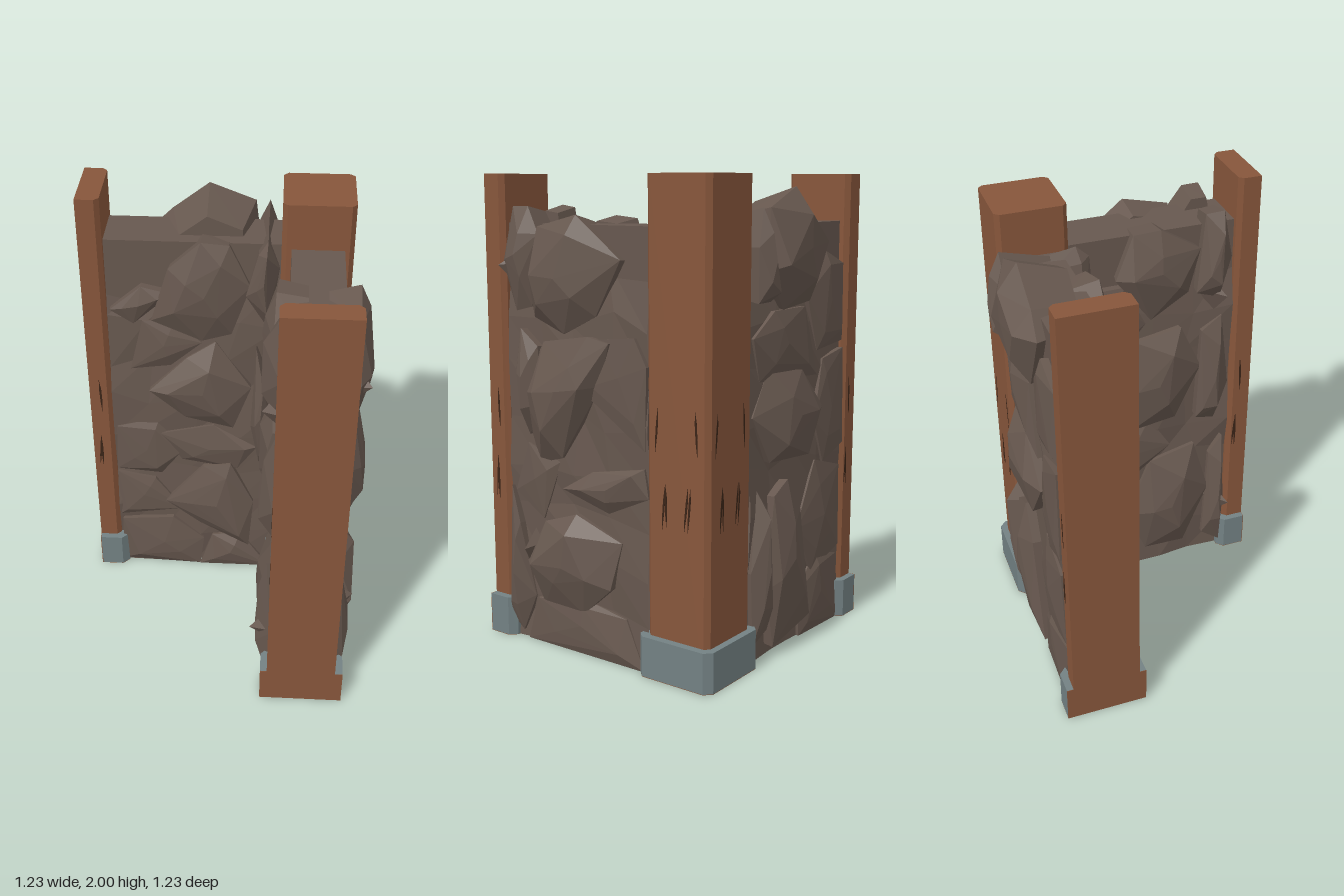
import * as THREE from 'three';
import { ConvexGeometry } from 'three/addons/geometries/ConvexGeometry.js';

const paint = (name, color, extra = {}) => {
  const m = new THREE.MeshStandardMaterial({ color, ...extra });
  m.name = name;
  return m;
};

// Seeded random numbers
function seeded(seed) {
  return () => {
    seed = (seed * 16807) % 2147483647;
    return seed / 2147483647;
  };
}

// Rocks as [height above core, u, y, u, y, ...] where u runs along the wall
const backInner = [
  [0.105, -0.24, 1.7, -0.1, 1.83, 0.02, 1.81, 0.11, 1.62, 0.03, 1.38, -0.1, 1.34, -0.32, 1.44],
  [0.06, -0.5, 1.48, -0.36, 1.6, -0.23, 1.57, -0.4, 1.41],
  [0.06, -0.42, 1.18, -0.36, 1.43, -0.22, 1.43, -0.1, 1.33, -0.24, 1.2],
  [0.105, -0.34, 1.07, -0.17, 1.24, -0.04, 1.33, 0.12, 1.1, 0.04, 0.87, -0.18, 0.92],
  [0.055, -0.51, 0.6, -0.5, 0.85, -0.3, 0.9, -0.21, 0.7, -0.3, 0.57],
  [0.06, -0.3, 0.82, -0.05, 0.87, 0.15, 0.75, 0.06, 0.62, -0.2, 0.66],
  [0.095, -0.28, 0.42, -0.1, 0.63, 0.03, 0.66, 0.14, 0.42, 0.12, 0.14, -0.12, 0.27],
  [0.05, -0.51, 0.3, -0.51, 0.57, -0.33, 0.54, -0.2, 0.36],
  [0.065, -0.51, 0, -0.5, 0.28, -0.25, 0.3, -0.1, 0.17, -0.12, 0],
  [0.07, -0.12, 0, -0.06, 0.19, 0.08, 0.2, 0.22, 0],
  [0.12, 0.12, 0.9, 0.14, 1.32, 0.18, 1.2, 0.23, 0.8, 0.16, 0.68],
  [0.11, 0.09, 1.58, 0.14, 1.78, 0.18, 1.84, 0.23, 1.7, 0.19, 1.4],
];
const backOuter = [
  [0.12, -0.33, 1.74, -0.24, 1.83, -0.08, 1.95, 0.12, 1.87, 0.15, 1.62, 0.02, 1.46, -0.2, 1.48],
  [0.11, 0.12, 1.5, 0.11, 1.72, 0.18, 1.87, 0.23, 1.72, 0.22, 1.5],
  [0.055, -0.51, 1.28, -0.5, 1.62, -0.34, 1.68, -0.2, 1.5, -0.28, 1.26],
  [0.07, -0.26, 1.16, -0.16, 1.46, 0.08, 1.46, 0.22, 1.36, 0.16, 1.18],
  [0.115, -0.3, 1.02, -0.12, 1.2, 0.1, 1.23, 0.21, 1.04, 0.1, 0.84, -0.18, 0.83],
  [0.055, -0.51, 0.82, -0.5, 1.25, -0.32, 1.22, -0.26, 0.96, -0.34, 0.76],
  [0.11, -0.22, 0.1, -0.12, 0.6, -0.02, 0.75, 0.09, 0.7, 0.12, 0.3, 0.08, 0.04],
  [0.1, 0.1, 0.12, 0.11, 0.66, 0.18, 0.74, 0.23, 0.4, 0.21, 0.08],
  [0.06, -0.51, 0.34, -0.49, 0.72, -0.28, 0.78, -0.14, 0.5, -0.26, 0.28],
  [0.055, -0.51, 0, -0.5, 0.3, -0.3, 0.36, -0.16, 0.2, -0.18, 0],
];
const sideOuter = [
  [0.115, 0.38, 1.6, 0.31, 1.79, 0.1, 1.84, -0.12, 1.67, 0.02, 1.44, 0.18, 1.36, 0.34, 1.42],
  [0.1, 0.5, 1.64, 0.45, 1.87, 0.37, 1.87, 0.3, 1.76, 0.36, 1.46, 0.44, 1.44],
  [0.115, 0.42, 1.1, 0.3, 1.32, 0.05, 1.36, -0.06, 1.34, 0.0, 1.16, 0.2, 0.84, 0.34, 0.8],
  [0.105, 0.46, 1.2, 0.41, 1.37, 0.32, 1.3, 0.3, 1.06, 0.38, 0.92],
  [0.05, 0.1, 1.14, 0.02, 1.35, -0.18, 1.37, -0.24, 1.26, -0.22, 0.92],
  [0.075, 0.2, 0.71, 0.05, 0.8, -0.22, 0.85, -0.24, 0.73, -0.04, 0.64],
  [0.115, 0.41, 0.36, 0.31, 0.55, 0.13, 0.61, -0.1, 0.52, -0.06, 0.32, 0.1, 0.18, 0.32, 0.18],
  [0.09, 0.51, 0.08, 0.5, 0.68, 0.45, 0.52, 0.38, 0.2, 0.45, 0.03],
  [0.055, 0.42, 0, 0.36, 0.2, 0.1, 0.24, -0.12, 0.2, -0.22, 0],
  [0.05, 0.48, 0.66, 0.4, 0.88, 0.22, 0.82, 0.32, 0.56],
];
const sideInner = [
  [0.105, -0.04, 1.62, 0.04, 1.82, 0.16, 1.83, 0.34, 1.72, 0.3, 1.5, 0.12, 1.4],
  [0.1, 0.33, 1.5, 0.37, 1.86, 0.45, 1.87, 0.5, 1.64, 0.44, 1.46],
  [0.06, -0.23, 1.28, -0.2, 1.58, 0.0, 1.58, 0.1, 1.38, -0.04, 1.22],
  [0.11, -0.08, 1.04, 0.05, 1.3, 0.26, 1.34, 0.36, 1.12, 0.24, 0.86, 0.02, 0.84],
  [0.1, 0.34, 0.84, 0.36, 1.3, 0.46, 1.36, 0.5, 1.0, 0.44, 0.8],
  [0.075, -0.22, 0.6, -0.14, 0.84, 0.12, 0.86, 0.22, 0.7, 0.0, 0.54],
  [0.105, 0.0, 0.32, 0.12, 0.62, 0.34, 0.68, 0.42, 0.4, 0.3, 0.08, 0.1, 0.08],
  [0.1, 0.4, 0.1, 0.42, 0.6, 0.48, 0.7, 0.51, 0.3, 0.49, 0.04],
  [0.065, -0.23, 0, -0.22, 0.46, -0.06, 0.52, 0.06, 0.24, 0.04, 0],
];

export function createModel() {
  const model = new THREE.Group();
  const wood = paint('wood', 0x87563b);
  const stone = paint('stone', 0x67584f, { side: THREE.DoubleSide });
  const iron = paint('iron', 0x738183);
  const groove = paint('dark groove', 0x3a2417);

  const add = (name, geometry, material, parent = model) => {
    const mesh = new THREE.Mesh(geometry, material);
    mesh.name = name;
    parent.add(mesh);
    return mesh;
  };
  const block = (name, x0, x1, y0, y1, z0, z1, material) =>
    add(name, new THREE.BoxGeometry(x1 - x0, y1 - y0, z1 - z0), material)
      .position.set((x0 + x1) / 2, (y0 + y1) / 2, (z0 + z1) / 2);

  // Upright prism; the last four values are the bevels of its corners
  const prism = (x0, x1, z0, z1, h, a, b, c, d) => {
    const s = new THREE.Shape([
      [x0, z0 + a], [x0 + a, z0], [x1 - b, z0], [x1, z0 + b],
      [x1, z1 - c], [x1 - c, z1], [x0 + d, z1], [x0, z1 - d],
    ].filter(([x, z], i, all) => !i || x !== all[i - 1][0] || z !== all[i - 1][1])
      .map(([x, z]) => new THREE.Vector2(x, -z)));
    return new THREE.ExtrudeGeometry(s, { depth: h, bevelEnabled: false }).rotateX(-Math.PI / 2);
  };

  // Posts, iron shoes and their wooden undersides
  const p = 0.02, q = 0.03;
  add('cornerPost', prism(0.234, 0.534, -0.535, -0.235, 2, p, p, p, p), wood);
  add('cornerShoe', prism(0.204, 0.568, -0.565, -0.205, 0.17, q, q, q, q).translate(0, 0.002, 0), iron);
  add('cornerShoeBottom', prism(0.204, 0.568, -0.565, -0.205, 0.002, q, q, q, q), wood);
  add('rightPost', prism(-0.615, -0.515, -0.535, -0.235, 2, 0, p, p, 0), wood);
  add('rightShoe', prism(-0.613, -0.48, -0.565, -0.205, 0.17, 0, q, q, 0).translate(0, 0.002, 0), iron);
  add('rightShoeBottom', prism(-0.613, -0.48, -0.565, -0.205, 0.002, 0, q, q, 0), wood);
  block('rightShoeCutFace', -0.615, -0.612, 0, 0.172, -0.565, -0.205, wood);
  add('frontPost', prism(0.234, 0.534, 0.515, 0.615, 2, p, p, 0, 0), wood);
  add('frontShoe', prism(0.204, 0.568, 0.482, 0.613, 0.17, q, q, 0, 0).translate(0, 0.002, 0), iron);
  add('frontShoeBottom', prism(0.204, 0.568, 0.482, 0.613, 0.002, q, q, 0, 0), wood);
  block('frontShoeCutFace', 0.204, 0.568, 0, 0.172, 0.612, 0.615, wood);

  // Wall cores
  block('backWall', -0.52, 0.24, 0, 1.8, -0.495, -0.275, stone);
  block('sideWall', 0.275, 0.495, 0, 1.8, -0.24, 0.52, stone);

  // One face of a wall: a rough skin with faceted rocks; those at the top lean over it by "lean"
  const cladding = (name, rocks, u0, u1, lean, seed, place) => {
    const rnd = seeded(seed), group = new THREE.Group();
    group.name = name;
    model.add(group);
    const skin = new THREE.PlaneGeometry(1, 1, 4, 8), pos = skin.attributes.position;
    for (let i = 0; i < pos.count; i++) {
      const a = pos.getX(i) + 0.5, b = pos.getY(i) + 0.5;
      const mid = a > 0.01 && a < 0.99 ? 1 : 0, top = b > 0.99;
      const u = u0 + (u1 - u0) * (a + mid * (rnd() - 0.5) * 0.12);
      const y = b * 1.62 + (b > 0.01 ? (rnd() - 0.5) * 0.1 : 0);
      pos.setXYZ(i, ...place(u, y, top ? -0.01 : 0.008 + rnd() * 0.028).toArray());
    }
    const flat = skin.toNonIndexed();
    flat.computeVertexNormals();
    add('roughSkin', flat, stone, group);
    for (const [height, ...outline] of rocks) {
      const n = outline.length / 2;
      const rim = Array.from({ length: n }, (_, i) => new THREE.Vector2(outline[2 * i], outline[2 * i + 1]));
      const c = rim.reduce((sum, r) => sum.addScaledVector(r, 1 / n), new THREE.Vector2());
      const root = rim.some((r) => r.y > 1.8) ? -lean : -0.02;
      const points = [place(c.x, c.y, height)];
      const ring = (r, k, d) => points.push(place(c.x + (r.x - c.x) * k, c.y + (r.y - c.y) * k, d));
      rim.forEach((r, i) => {
        ring(r, 1 + root * 1.6, root);
        ring(r, 1, 0.024 + rnd() * height * 0.35);
        if (i % 2 === 0) ring(r, 0.4 + rnd() * 0.35, height * (0.8 + rnd() * 0.2));
      });
      add('rock', new ConvexGeometry(points), stone, group);
    }
  };
  const v = (x, y, z) => new THREE.Vector3(x, y, z);
  cladding('backWallInnerRocks', backInner, -0.515, 0.23, 0.06, 11, (u, y, d) => v(u, y, -0.275 + d));
  cladding('backWallOuterRocks', backOuter, -0.515, 0.23, 0.16, 23, (u, y, d) => v(u, y, -0.495 - d));
  cladding('sideWallOuterRocks', sideOuter, -0.235, 0.515, 0.07, 37, (u, y, d) => v(0.495 + d, y, u));
  cladding('sideWallInnerRocks', sideInner, -0.235, 0.515, 0.07, 53, (u, y, d) => v(0.275 - d, y, u));

  // Thin spikes of rock beside the front post
  for (const [x, y, z, tx, tz] of [
    [0.3, 0.3, 0.44, 0.15, 0.5], [0.3, 1.45, 0.4, 0.18, 0.46],
    [0.47, 0.4, 0.42, 0.6, 0.37], [0.47, 1.6, 0.4, 0.59, 0.49],
  ]) {
    add('rockSpike', new ConvexGeometry([v(x, y - 0.13, z), v(x, y + 0.14, z - 0.03),
      v(x, y, z + 0.06), v(x, y + 0.05, z - 0.09), v(tx, y + 0.03, tz)]), stone);
  }

  // Weathered grooves: slim slanted slivers on the post faces
  const sliver = new THREE.Shape([
    [-0.002, -0.09], [0.004, -0.02], [0.006, 0.04], [0.001, 0.09], [-0.004, 0.03], [-0.005, -0.04],
  ].map(([x, y]) => new THREE.Vector2(x, y)));
  const cut = new THREE.ExtrudeGeometry(sliver, { depth: 0.002, bevelEnabled: false });
  const grooves = (x, z, turn, marks) => {
    for (const [offset, y, tilt] of marks) {
      const mark = add('groove', cut, groove);
      mark.position.set(x + Math.cos(turn) * offset, y, z - Math.sin(turn) * offset);
      mark.rotation.set(0, turn, tilt);
    }
  };
  const wide = [[-0.097, 1.02, -0.06], [0.092, 1.03, 0.08], [-0.064, 0.71, -0.06], [-0.052, 0.72, 0.05],
    [0.045, 0.72, -0.08], [0.06, 0.72, -0.05]];
  const slim = [[0.0, 1.02, 0.06], [-0.018, 0.71, -0.06], [-0.012, 0.7, 0.04]];
  const H = Math.PI / 2;
  grooves(0.533, -0.385, H, wide);
  grooves(0.384, -0.534, 2 * H, wide);
  grooves(-0.565, -0.236, 0, slim);
  grooves(-0.565, -0.534, 2 * H, slim);
  grooves(0.533, 0.565, H, slim);
  grooves(0.235, 0.565, -H, slim);
  return model;
}
